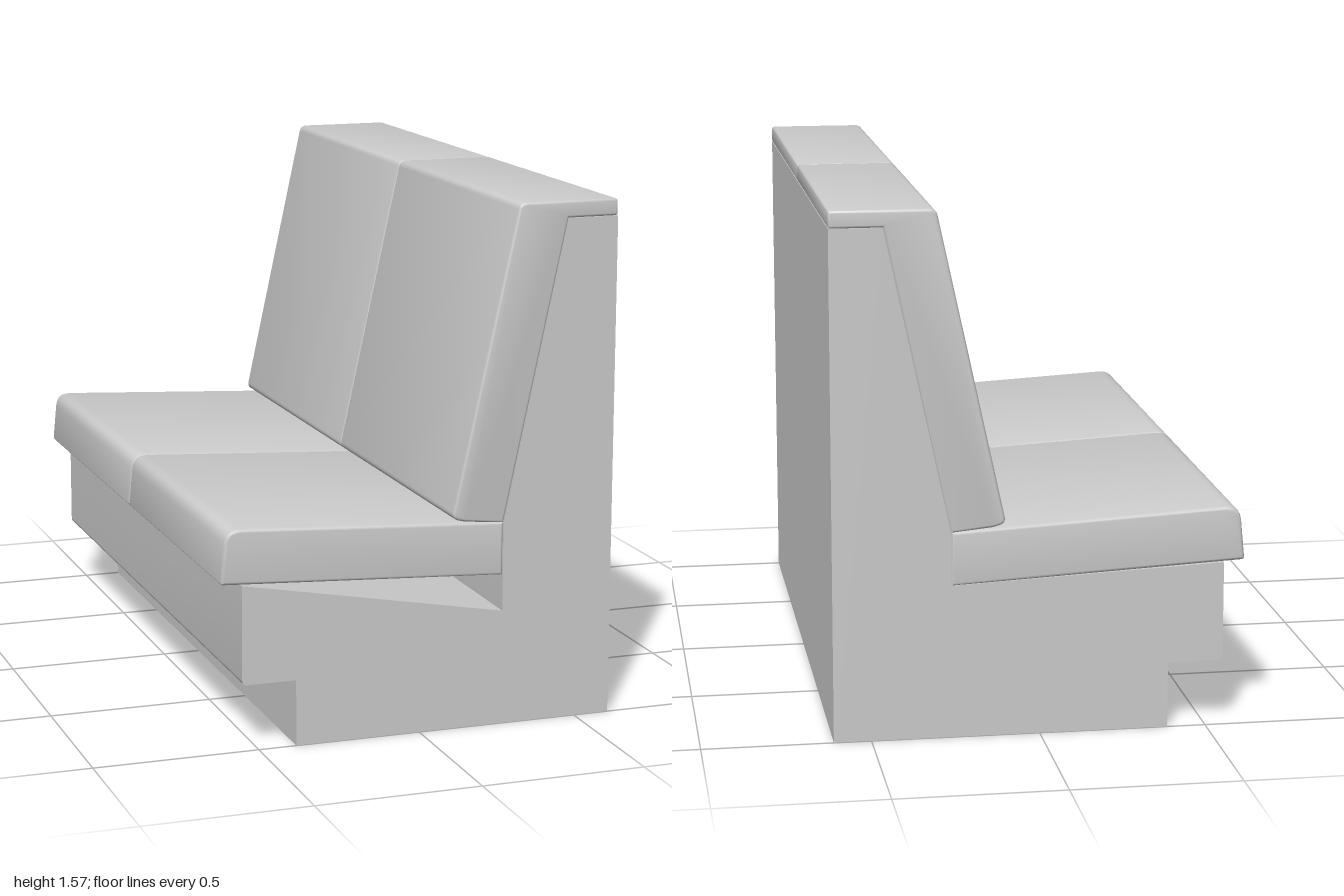
import * as THREE from 'three';
import { toCreasedNormals } from 'three/addons/utils/BufferGeometryUtils.js';

const material = new THREE.MeshStandardMaterial({ color: 0xcccccc });

// Closed side profile; each point is [x, y, corner radius]
function profile(points) {
  const shape = new THREE.Shape();
  const n = points.length;
  points.forEach(([x, y, r = 0], i) => {
    const p = new THREE.Vector2(x, y);
    const toward = (q) => p.clone().add(new THREE.Vector2(q[0], q[1]).sub(p).setLength(r));
    const a = r ? toward(points[(i + n - 1) % n]) : p;
    if (i === 0) shape.moveTo(a.x, a.y);
    else shape.lineTo(a.x, a.y);
    if (r) {
      const b = toward(points[(i + 1) % n]);
      shape.quadraticCurveTo(x, y, b.x, b.y);
    }
  });
  shape.closePath();
  return shape;
}

// Extrude a profile from z0 to z1, with softened end edges of size bevel
function slab(name, points, z0, z1, bevel = 0) {
  const geometry = new THREE.ExtrudeGeometry(profile(points), {
    depth: z1 - z0 - 2 * bevel,
    curveSegments: 5,
    bevelEnabled: bevel > 0,
    bevelThickness: bevel,
    bevelSize: bevel,
    bevelOffset: -bevel,
    bevelSegments: 3,
  });
  geometry.translate(0, 0, z0 + bevel);
  const mesh = new THREE.Mesh(toCreasedNormals(geometry, 0.6), material);
  mesh.name = name;
  return mesh;
}

export function createModel() {
  const bench = new THREE.Group();
  bench.name = 'bench';

  // Frame: recessed plinth, front box with sloping top, and upright back
  bench.add(slab('frame', [
    [-0.385, 0], [0.604, 0], [0.604, 1.52], [0.455, 1.52], [0.262, 0.62],
    [0.262, 0.35], [-0.55, 0.5], [-0.55, 0.2, 0.015], [-0.385, 0.2],
  ], -1, 1));

  // Infill closing the wedge under the seat at one end
  bench.add(slab('endInfill', [
    [-0.55, 0.5], [0.262, 0.35], [0.262, 0.462],
  ], -1, -0.98));

  // Thin board covering the rear
  bench.add(slab('backBoard', [
    [0.604, 0], [0.611, 0], [0.611, 1.52], [0.604, 1.52],
  ], -1, 1));

  // Two matching seat and back cushions
  for (const [side, z] of [['right', -1], ['left', 0]]) {
    bench.add(slab(side + 'SeatCushion', [
      [-0.613, 0.505, 0.01], [0.262, 0.46], [0.262, 0.622], [-0.597, 0.67, 0.045],
    ], z, z + 1, 0.01));
    bench.add(slab(side + 'BackCushion', [
      [0.1, 0.643, 0.02], [0.14, 0.632, 0.01], [0.262, 0.62], [0.455, 1.52], [0.611, 1.52, 0.006],
      [0.611, 1.571, 0.01], [0.302, 1.571, 0.02],
    ], z, z + 1, 0.008));
  }
  return bench;
}
